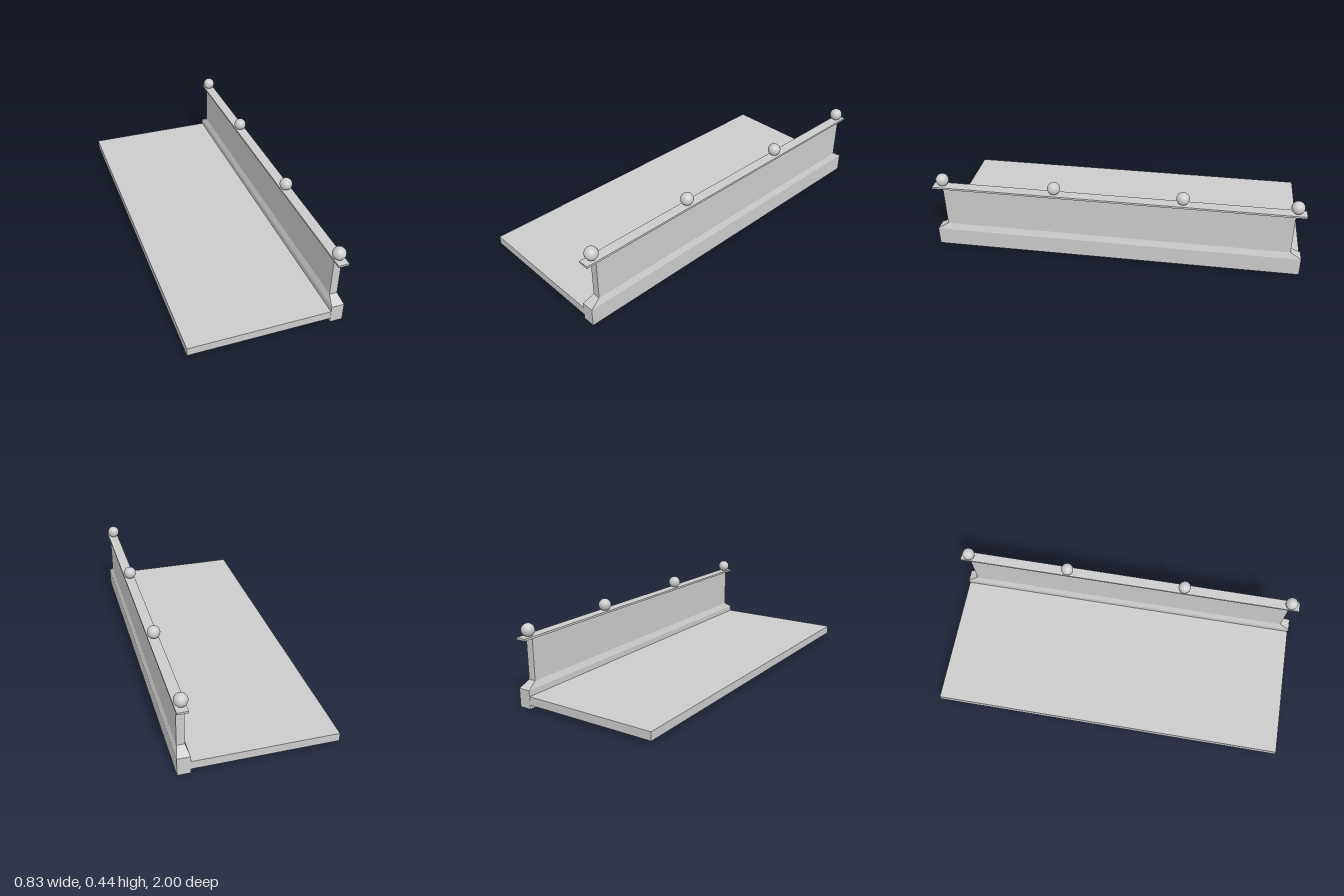
import * as THREE from 'three';

const material = new THREE.MeshStandardMaterial({ color: 0xcccccc });

// Box given by its limits on each axis
function box(name, [x0, x1], [y0, y1], [z0, z1]) {
  const mesh = new THREE.Mesh(new THREE.BoxGeometry(x1 - x0, y1 - y0, z1 - z0), material);
  mesh.position.set((x0 + x1) / 2, (y0 + y1) / 2, (z0 + z1) / 2);
  mesh.name = name;
  return mesh;
}

// Stacked rectangular sections [y, x0, x1, half length], closed at both ends
function stackedWall(name, sections) {
  const last = sections.length - 1;
  const geo = new THREE.BoxGeometry(1, 1, 1, 1, last, 1);
  const p = geo.attributes.position;
  for (let i = 0; i < p.count; i++) {
    const [y, x0, x1, half] = sections[Math.round((p.getY(i) + 0.5) * last)];
    p.setXYZ(i, p.getX(i) < 0 ? x0 : x1, y, Math.sign(p.getZ(i)) * half);
  }
  const flat = geo.toNonIndexed();
  flat.computeVertexNormals();
  const mesh = new THREE.Mesh(flat, material);
  mesh.name = name;
  return mesh;
}

export function createModel() {
  const model = new THREE.Group();
  model.name = 'parapetWithDeck';

  // Flat deck beside the wall
  model.add(box('deck', [-0.415, 0.35], [0.023, 0.069], [-0.999, 0.999]));

  // Wide plinth, sloped shoulder and narrow wall
  model.add(stackedWall('parapetWall', [
    [0, 0.345, 0.413, 1],
    [0.101, 0.345, 0.413, 1],
    [0.134, 0.358, 0.4, 0.942],
    [0.362, 0.358, 0.4, 0.942],
  ]));

  // Thin coping overhanging the wall
  model.add(box('coping', [0.35, 0.408], [0.36, 0.371], [-1, 1]));

  // Ball finials along the coping
  const ball = new THREE.SphereGeometry(0.035, 32, 20);
  for (const z of [0.948, 0.33, -0.36, -0.95]) {
    const finial = new THREE.Mesh(ball, material);
    finial.name = 'ballFinial';
    finial.position.set(0.376, 0.404, z);
    model.add(finial);
  }
  return model;
}
